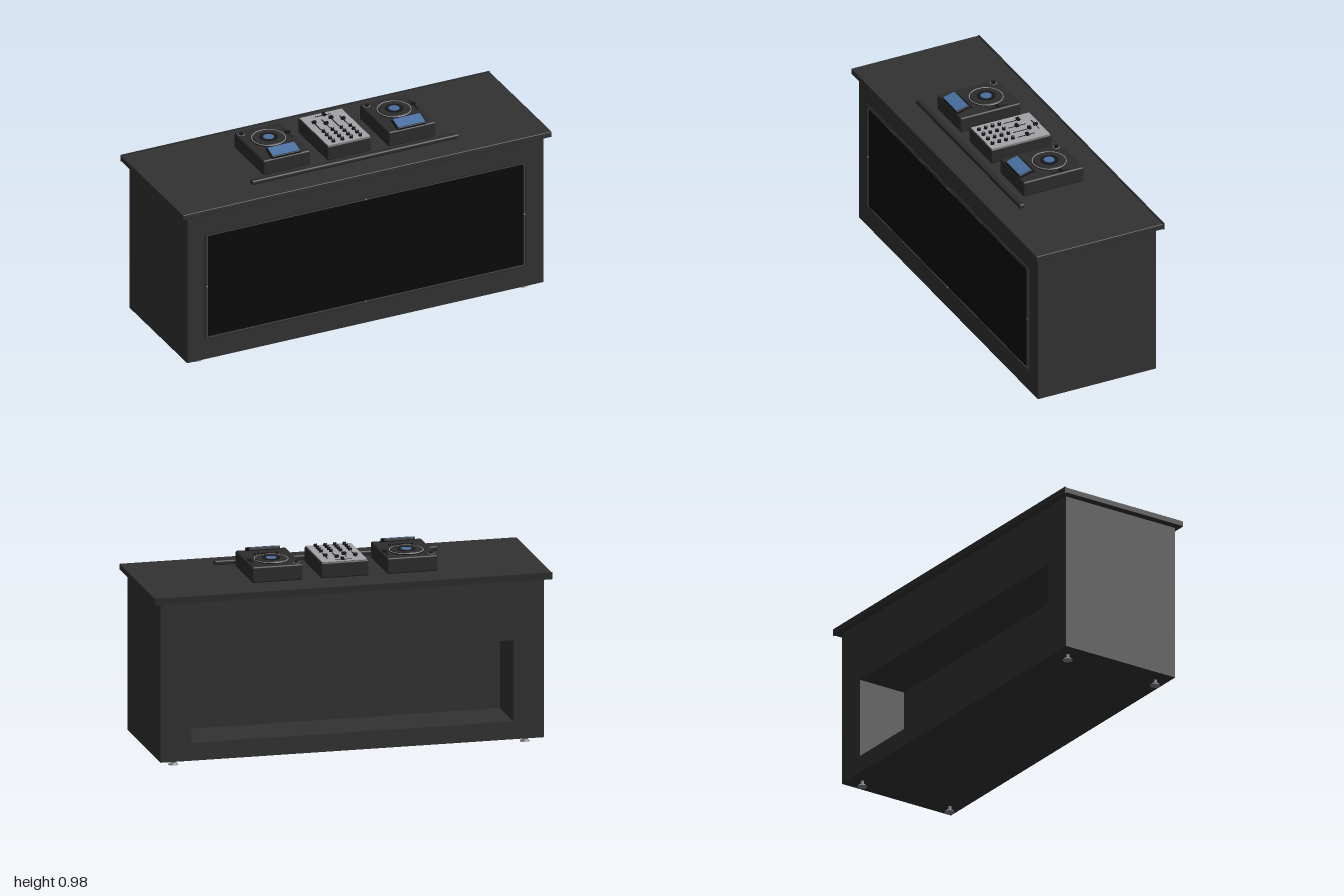
import * as THREE from 'three';
import { RoundedBoxGeometry } from 'three/addons/geometries/RoundedBoxGeometry.js';

export function createModel() {
  const root = new THREE.Group();
  root.name = 'performanceBooth';
  const mat = (name, color) => {
    const m = new THREE.MeshStandardMaterial({ color });
    m.name = name;
    return m;
  };
  const body = mat('charcoalBody', 0x323232);
  const deckMat = mat('deckGrey', 0x2c2c2c);
  const black = mat('screenBlack', 0x0a0a0a);
  const dark = mat('controlBlack', 0x181818);
  const trim = mat('trimGrey', 0x444444);
  const metal = mat('metal', 0x85858a);
  const silver = mat('mixerSilver', 0xa4a4a8);
  const blue = mat('displayBlue', 0x4a70a3);

  const add = (parent, name, geo, material, x, y, z) => {
    const m = new THREE.Mesh(geo, material);
    m.name = name;
    m.position.set(x, y, z);
    parent.add(m);
    return m;
  };
  const box = (p, name, m, w, h, d, x, y, z) =>
    add(p, name, new THREE.BoxGeometry(w, h, d), m, x, y, z);
  const rbox = (p, name, m, w, h, d, x, y, z, r) =>
    add(p, name, new RoundedBoxGeometry(w, h, d, 2, r), m, x, y, z);
  const cyl = (p, name, m, rt, rb, h, x, y, z, n = 24) =>
    add(p, name, new THREE.CylinderGeometry(rt, rb, h, n), m, x, y, z);
  const group = (name, x, y, z) => {
    const g = new THREE.Group();
    g.name = name;
    g.position.set(x, y, z);
    root.add(g);
    return g;
  };
  const rectPath = (P, x0, y0, x1, y1) => {
    const p = new P();
    p.moveTo(x0, y0); p.lineTo(x1, y0); p.lineTo(x1, y1); p.lineTo(x0, y1);
    p.closePath();
    return p;
  };
  const frame = (outer, inner, depth) => {
    const s = rectPath(THREE.Shape, ...outer);
    s.holes.push(rectPath(THREE.Path, ...inner));
    return new THREE.ExtrudeGeometry(s, { depth, bevelEnabled: false });
  };

  // Cabinet: solid front half, rear half with an open storage bay
  box(root, 'cabinetFront', body, 1.93, 0.805, 0.385, 0, 0.4325, 0.1325);
  add(root, 'cabinetRear',
    frame([-0.965, 0.03, 0.965, 0.835], [-0.81, 0.12, 0.81, 0.53], 0.26), body, 0, 0, -0.32);

  // Countertop with a rear edge strip
  rbox(root, 'countertop', body, 2, 0.03, 0.692, 0, 0.849, 0.004, 0.004);
  box(root, 'rearEdgeStrip', deckMat, 2, 0.034, 0.007, 0, 0.849, -0.3455);

  // Front display panel, its thin frame and fixings
  box(root, 'frontScreen', black, 1.72, 0.56, 0.004, 0, 0.43, 0.3265);
  add(root, 'screenFrame',
    frame([-0.872, 0.14, 0.872, 0.722], [-0.858, 0.152, 0.858, 0.71], 0.006), deckMat, 0, 0, 0.325);
  add(root, 'screenTrim',
    frame([-0.862, 0.148, 0.862, 0.714], [-0.857, 0.153, 0.857, 0.709], 0.007), trim, 0, 0, 0.325);
  for (const [x, y] of [[0, 0.712], [0, 0.15], [0.86, 0.431], [-0.86, 0.431]])
    add(root, 'frameFixing', new THREE.SphereGeometry(0.005, 12, 8), metal, x, y, 0.33);

  // Levelling feet
  for (const x of [-0.885, 0.885]) for (const z of [-0.255, 0.262]) {
    const foot = group('foot', x, 0, z);
    cyl(foot, 'footPad', metal, 0.017, 0.025, 0.01, 0, 0.005, 0);
    cyl(foot, 'footStem', metal, 0.009, 0.009, 0.025, 0, 0.02, 0);
  }

  // Long bar in front of the equipment
  rbox(root, 'frontBar', deckMat, 1.125, 0.024, 0.031, 0, 0.877, 0.206, 0.008);

  // Two identical player decks
  for (const x of [-0.34, 0.34]) {
    const deck = group('playerDeck', x, 0.865, 0);
    rbox(deck, 'deckBody', deckMat, 0.255, 0.081, 0.33, 0, 0.0405, -0.014, 0.008);
    cyl(deck, 'platterBase', dark, 0.088, 0.088, 0.004, 0, 0.082, -0.053, 48);
    cyl(deck, 'platter', deckMat, 0.076, 0.08, 0.008, 0, 0.084, -0.053, 48);
    const ring = add(deck, 'platterRing', new THREE.TorusGeometry(0.083, 0.0032, 8, 56), metal, 0, 0.084, -0.053);
    ring.rotation.x = Math.PI / 2;
    cyl(deck, 'platterInset', dark, 0.046, 0.046, 0.002, 0, 0.0885, -0.053, 40);
    cyl(deck, 'platterHub', blue, 0.027, 0.027, 0.003, 0, 0.0895, -0.053, 32);
    // Small dial and pitch slider
    const dialRing = add(deck, 'dialRing', new THREE.TorusGeometry(0.015, 0.002, 6, 24), metal, -0.103, 0.082, -0.145);
    dialRing.rotation.x = Math.PI / 2;
    cyl(deck, 'dial', dark, 0.011, 0.012, 0.01, -0.103, 0.085, -0.145);
    box(deck, 'pitchSlot', dark, 0.006, 0.002, 0.1, 0.108, 0.0815, -0.06);
    box(deck, 'pitchCap', dark, 0.022, 0.011, 0.012, 0.108, 0.086, -0.062);
    for (let i = 0; i < 6; i++)
      box(deck, 'deckButton', dark, 0.014, 0.006, 0.009, -0.055 + i * 0.022, 0.083, 0.058);
    // Tilted display
    const display = new THREE.Group();
    display.name = 'tiltedDisplay';
    display.position.set(0, 0.0935, 0.112);
    display.rotation.x = 0.25;
    deck.add(display);
    rbox(display, 'displayCase', dark, 0.158, 0.016, 0.076, 0, 0, 0, 0.004);
    box(display, 'displayScreen', blue, 0.146, 0.003, 0.064, 0, 0.008, 0);
  }

  // Mixer
  const mixer = group('mixer', 0, 0.865, 0);
  rbox(mixer, 'mixerBody', deckMat, 0.24, 0.08, 0.33, 0, 0.04, -0.014, 0.008);
  box(mixer, 'mixerPlate', silver, 0.228, 0.004, 0.318, 0, 0.0805, -0.014);
  box(mixer, 'crossfaderSlot', dark, 0.085, 0.002, 0.005, 0, 0.0825, -0.148);
  box(mixer, 'crossfaderCap', dark, 0.013, 0.012, 0.022, 0.005, 0.088, -0.148);
  const capZ = [-0.092, -0.06, -0.105, -0.07];
  [-0.074, -0.025, 0.023, 0.072].forEach((x, i) => {
    box(mixer, 'faderSlot', dark, 0.005, 0.002, 0.095, x, 0.0825, -0.063);
    box(mixer, 'faderCap', dark, 0.02, 0.013, 0.014, x, 0.0885, capZ[i]);
    for (let j = 0; j < 4; j++) {
      const z = 0.01 + j * 0.037;
      cyl(mixer, 'knob', dark, 0.0085, 0.01, 0.014, x, 0.0885, z, 16);
      cyl(mixer, 'knobTop', silver, 0.004, 0.004, 0.002, x, 0.0955, z, 12);
    }
  });

  return root;
}
